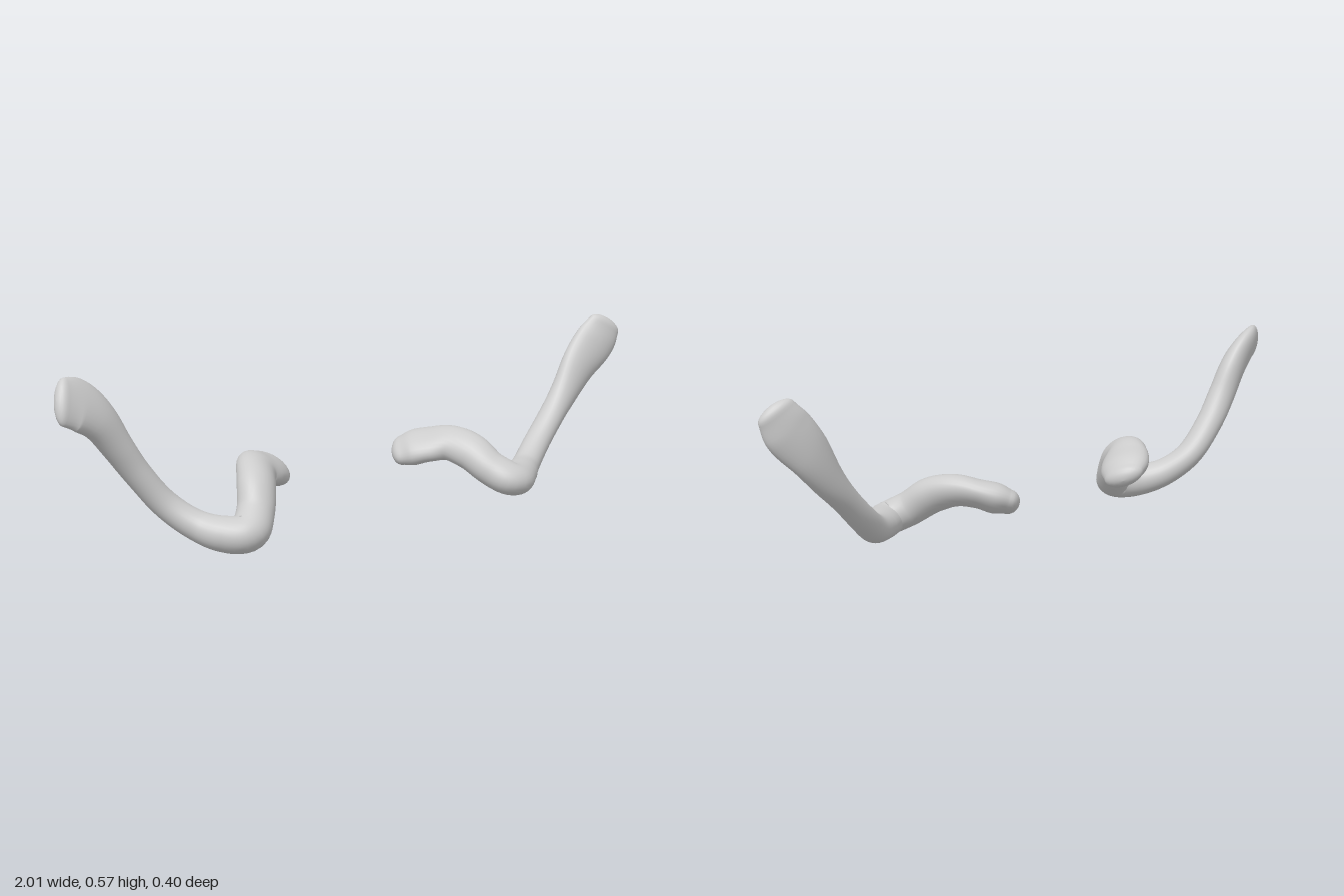
import * as THREE from 'three';

// Each section, from the inner end to the outer end:
// [x, y, z, half height, half width, roll]
const LEFT_BONE = [
  [0.235, 0.173, -0.147, 0.036, 0.066, 0.4],
  [0.263, 0.184, -0.122, 0.045, 0.079, 0.4],
  [0.3, 0.197, -0.083, 0.042, 0.077, 0.42],
  [0.342, 0.205, -0.035, 0.046, 0.064, 0.55],
  [0.378, 0.184, 0.03, 0.05, 0.061, 0.7],
  [0.412, 0.137, 0.093, 0.051, 0.056, 0.55],
  [0.46, 0.107, 0.134, 0.051, 0.062, 0.25],
  [0.52, 0.107, 0.096, 0.048, 0.055, 0.05],
  [0.58, 0.119, 0.047, 0.043, 0.045, 0],
  [0.65, 0.17, 0.006, 0.04, 0.043, 0],
  [0.73, 0.245, -0.023, 0.04, 0.042, 0],
  [0.8, 0.318, -0.042, 0.05, 0.04, -0.1],
  [0.87, 0.408, -0.052, 0.066, 0.037, -0.1],
  [0.93, 0.479, -0.047, 0.072, 0.031, -0.1],
  [0.962, 0.53, -0.041, 0.058, 0.023, -0.1],
];
const RIGHT_BONE = [
  [0.243, 0.168, -0.147, 0.034, 0.064, 0.4],
  [0.272, 0.18, -0.122, 0.045, 0.078, 0.4],
  [0.31, 0.194, -0.086, 0.044, 0.077, 0.42],
  [0.352, 0.202, -0.045, 0.047, 0.064, 0.55],
  [0.388, 0.17, 0.02, 0.052, 0.061, 0.65],
  [0.422, 0.104, 0.074, 0.053, 0.057, 0.5],
  [0.47, 0.06, 0.112, 0.055, 0.06, 0.25],
  [0.53, 0.058, 0.08, 0.053, 0.056, 0.05],
  [0.59, 0.081, 0.023, 0.045, 0.047, 0],
  [0.66, 0.14, -0.028, 0.041, 0.046, 0],
  [0.74, 0.24, -0.046, 0.041, 0.044, -0.1],
  [0.8, 0.325, -0.044, 0.048, 0.043, -0.3],
  [0.86, 0.41, -0.037, 0.066, 0.041, -0.42],
  [0.92, 0.458, -0.028, 0.08, 0.035, -0.42],
  [0.97, 0.475, -0.013, 0.07, 0.026, -0.3],
];

const SIDES = 28;
const STEPS = 90;
const CAP = 6;

// Sweeps a rolled ellipse along a smooth path and rounds both ends
function boneGeometry(sections, side) {
  const path = new THREE.CatmullRomCurve3(sections.map(s => new THREE.Vector3(s[0], s[1], s[2])));
  const sizes = new THREE.CatmullRomCurve3(
    sections.map(s => new THREE.Vector3(s[3], s[4], s[5])), false, 'catmullrom');

  // Rings as [position along path, scale, push past the end]
  const rings = [];
  for (let i = 0; i < CAP; i++) {
    const a = (1 - i / CAP) * Math.PI / 2;
    rings.push([0, Math.cos(a), -0.034 * Math.sin(a)]);
  }
  for (let i = 0; i <= STEPS; i++) rings.push([i / STEPS, 1, 0]);
  for (let i = 1; i <= CAP; i++) {
    const a = i / CAP * Math.PI / 2;
    rings.push([1, Math.cos(a), 0.028 * Math.sin(a)]);
  }

  const positions = [];
  const index = [];
  const up = new THREE.Vector3(0, 1, 0);
  rings.forEach(([t, scale, push], i) => {
    const tangent = path.getTangent(t);
    const centre = path.getPoint(t).addScaledVector(tangent, push);
    const { x: high, y: wide, z: roll } = sizes.getPoint(t);
    const across = new THREE.Vector3().crossVectors(tangent, up).normalize();
    const above = new THREE.Vector3().crossVectors(across, tangent).normalize();
    const c = Math.cos(roll), s = Math.sin(roll);
    for (let j = 0; j < SIDES; j++) {
      const a = j / SIDES * Math.PI * 2;
      const u = Math.cos(a) * wide * scale, v = Math.sin(a) * high * scale;
      const p = centre.clone()
        .addScaledVector(across, u * c + v * s)
        .addScaledVector(above, v * c - u * s);
      positions.push(p.x * side, p.y, p.z);
      if (i === rings.length - 1) continue;
      const k = (j + 1) % SIDES;
      const p0 = i * SIDES + j, p1 = p0 + SIDES;
      const q0 = i * SIDES + k, q1 = q0 + SIDES;
      if (side > 0) index.push(p0, p1, q0, p1, q1, q0);
      else index.push(p0, q0, p1, p1, q0, q1);
    }
  });

  const geometry = new THREE.BufferGeometry();
  geometry.setAttribute('position', new THREE.Float32BufferAttribute(positions, 3));
  geometry.setIndex(index);
  geometry.computeVertexNormals();
  return geometry;
}

export function createModel() {
  const bone = new THREE.MeshStandardMaterial({ color: 0xcccccc });
  bone.name = 'bone grey';

  const model = new THREE.Group();
  model.name = 'collarbones';
  for (const [name, sections, side] of [
    ['leftCollarbone', LEFT_BONE, 1],
    ['rightCollarbone', RIGHT_BONE, -1],
  ]) {
    const mesh = new THREE.Mesh(boneGeometry(sections, side), bone);
    mesh.name = name;
    model.add(mesh);
  }
  return model;
}
